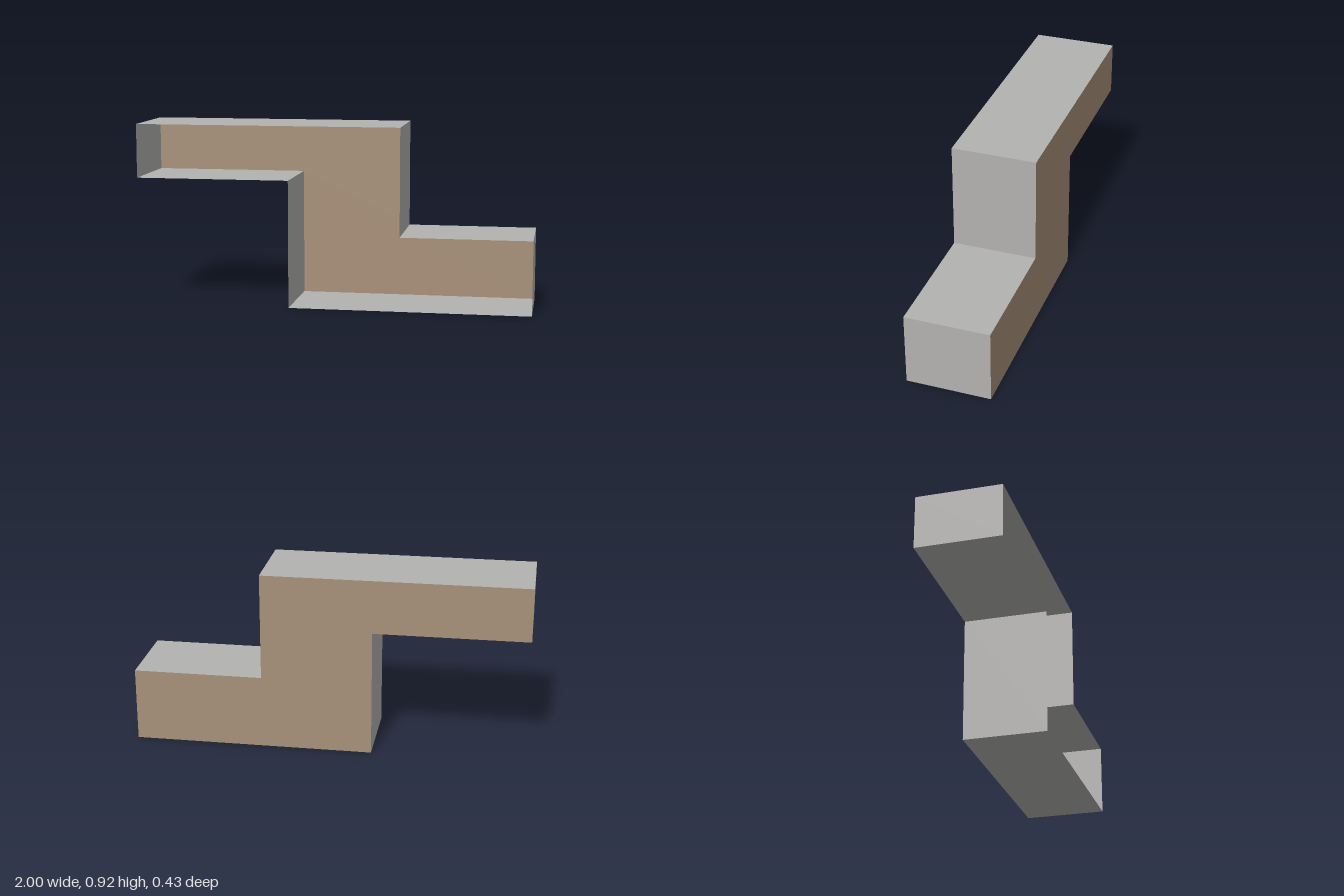
import * as THREE from 'three';

// Stepped channel letter-like tray: closed at the back, open at the front
const HALF_DEPTH = 0.214;
const OUTLINE = [
  [-0.22, 0], [1, 0], [1, 0.375], [0.343, 0.375],
  [0.343, 0.92], [-1, 0.92], [-1, 0.647], [-0.22, 0.647],
];

// Thin wall strip following the outline, one flat quad per edge
function wallGeometry(points, half) {
  const pos = [];
  points.forEach(([ax, ay], i) => {
    const [bx, by] = points[(i + 1) % points.length];
    pos.push(ax, ay, -half, bx, by, -half, bx, by, half);
    pos.push(ax, ay, -half, bx, by, half, ax, ay, half);
  });
  const geo = new THREE.BufferGeometry();
  geo.setAttribute('position', new THREE.Float32BufferAttribute(pos, 3));
  geo.computeVertexNormals();
  return geo;
}

export function createModel() {
  const wallGrey = new THREE.MeshStandardMaterial({ color: 0xb3b2b0, side: THREE.DoubleSide });
  wallGrey.name = 'wall grey';
  const panelBrown = new THREE.MeshStandardMaterial({ color: 0xa8917a, side: THREE.DoubleSide });
  panelBrown.name = 'panel brown';

  const model = new THREE.Group();
  model.name = 'steppedTray';

  // Side walls
  const walls = new THREE.Mesh(wallGeometry(OUTLINE, HALF_DEPTH), wallGrey);
  walls.name = 'sideWalls';

  // Back panel
  const shape = new THREE.Shape(OUTLINE.map(([x, y]) => new THREE.Vector2(x, y)));
  const panel = new THREE.Mesh(new THREE.ShapeGeometry(shape), panelBrown);
  panel.position.z = -HALF_DEPTH;
  panel.name = 'backPanel';

  model.add(walls, panel);
  return model;
}
